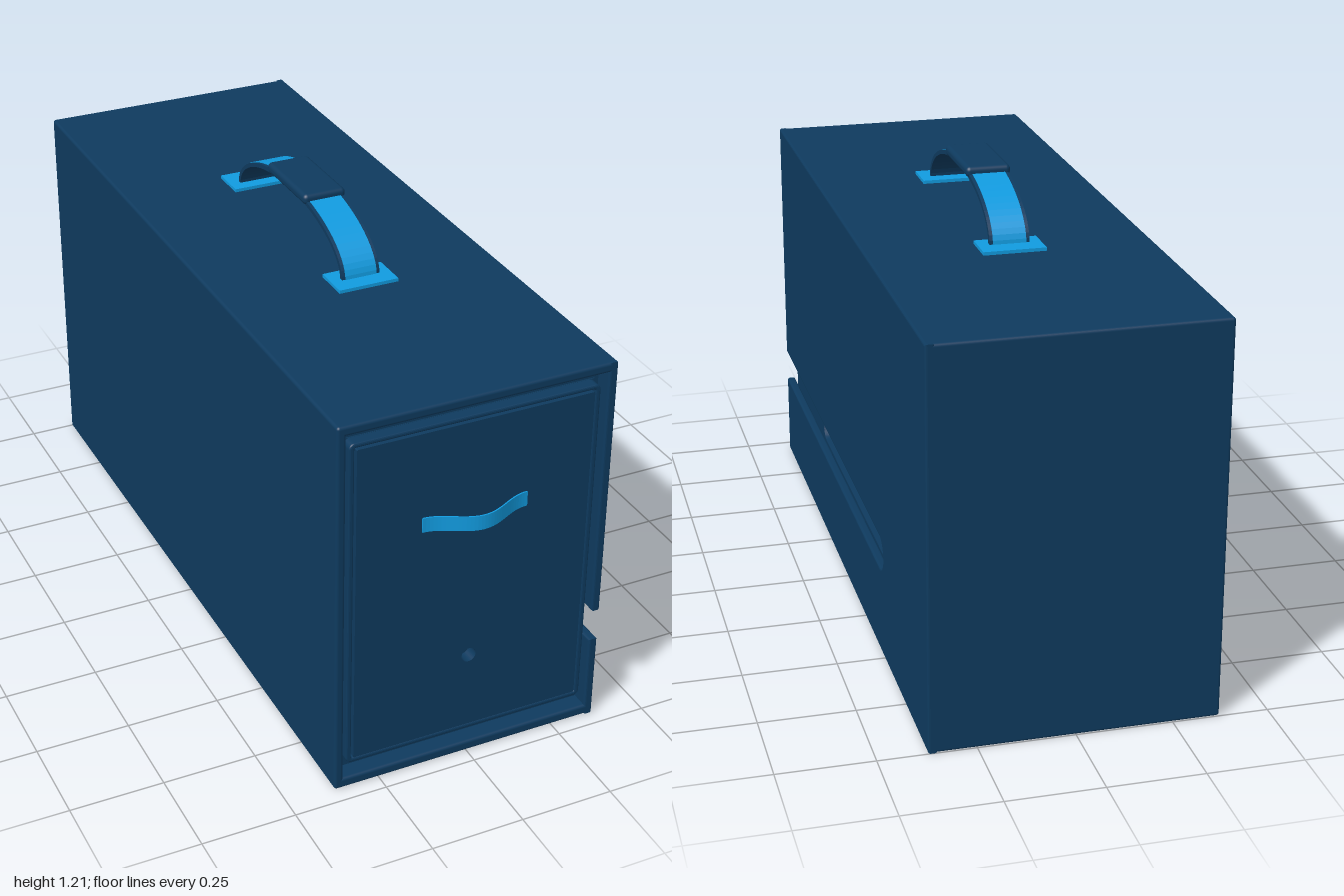
import * as THREE from 'three';
import { RoundedBoxGeometry } from 'three/addons/geometries/RoundedBoxGeometry.js';

export function createModel() {
  const root = new THREE.Group();
  const navy = new THREE.MeshStandardMaterial({ color: 0x0e3a5e });
  navy.name = 'navy shell';
  const blue = new THREE.MeshStandardMaterial({ color: 0x119ade });
  blue.name = 'bright blue webbing';

  const add = (name, geo, mat, parent = root) => {
    const m = new THREE.Mesh(geo, mat);
    m.name = name;
    parent.add(m);
    return m;
  };
  const group = (name) => {
    const g = new THREE.Group();
    g.name = name;
    root.add(g);
    return g;
  };
  // Box given by its limits, rounded when r > 0
  const block = (name, [x0, x1], [y0, y1], [z0, z1], mat, parent, r = 0) => {
    const s = [x1 - x0, y1 - y0, z1 - z0];
    const geo = r ? new RoundedBoxGeometry(...s, 3, r) : new THREE.BoxGeometry(...s);
    return add(name, geo.translate((x0 + x1) / 2, (y0 + y1) / 2, (z0 + z1) / 2), mat, parent);
  };
  // Profile drawn in (z, y), extruded across x from x0 to x1
  const sideways = (shape, x0, x1, bevel = 0) => new THREE.ExtrudeGeometry(shape, {
    depth: x1 - x0 - 2 * bevel, bevelEnabled: bevel > 0, bevelThickness: bevel,
    bevelSize: bevel, bevelOffset: -bevel, bevelSegments: 3, curveSegments: 16,
  }).rotateY(-Math.PI / 2).translate(x1 - bevel, 0, 0);
  // Rounded rectangle in (x, y)
  const roundRect = (T, w, y0, y1, r) => {
    const s = new T();
    s.absarc(w - r, y0 + r, r, -Math.PI / 2, 0);
    s.absarc(w - r, y1 - r, r, 0, Math.PI / 2);
    s.absarc(-w + r, y1 - r, r, Math.PI / 2, Math.PI);
    s.absarc(-w + r, y0 + r, r, Math.PI, Math.PI * 1.5);
    s.closePath();
    return s;
  };

  const X = 0.373, H = 1.055, B = -1, F = 0.957;
  const slotY = 0.285, slotR = 0.045, slotEnd = -0.45;

  // Outer case, open at the front
  const shell = group('outerCase');
  const r = 0.008;
  block('caseTop', [-X, X], [H - 0.027, H], [B, F], navy, shell, r);
  block('caseBottom', [-X, X], [0, 0.029], [B, F], navy, shell, r);
  block('caseRightWall', [-X, -X + 0.024], [0, H], [B, F], navy, shell, r);
  block('caseBack', [-X, X], [0, H], [B, B + 0.025], navy, shell, r);

  // Slotted wall, the slot running out through the front rim
  const wall = new THREE.Shape();
  wall.moveTo(B, 0);
  wall.lineTo(F, 0);
  wall.lineTo(F, slotY - slotR);
  wall.absarc(slotEnd, slotY, slotR, -Math.PI / 2, Math.PI / 2, true);
  wall.lineTo(F, slotY + slotR);
  wall.lineTo(F, H);
  wall.lineTo(B, H);
  wall.closePath();
  add('caseLeftSlottedWall', sideways(wall, X - 0.024, X, 0.006), navy, shell);

  // Inner sleeve with a closed slot in the same side
  const sleeve = group('innerSleeve');
  const sx = 0.348, st = 0.336, sz = [-0.97, 0.91];
  block('sleeveTop', [-sx, sx], [0.995, 1.027], sz, navy, sleeve);
  block('sleeveBottom', [-sx, sx], [0.03, 0.062], sz, navy, sleeve);
  block('sleeveRightWall', [-sx, -st], [0.03, 1.027], sz, navy, sleeve);
  const inner = new THREE.Shape([[sz[0], 0.03], [sz[1], 0.03], [sz[1], 1.027], [sz[0], 1.027]]
    .map((p) => new THREE.Vector2(...p)));
  const slot = new THREE.Path();
  slot.absarc(0.42, slotY, slotR, -Math.PI / 2, Math.PI / 2);
  slot.absarc(slotEnd, slotY, slotR, Math.PI / 2, Math.PI * 1.5);
  slot.closePath();
  inner.holes.push(slot);
  add('sleeveLeftSlottedWall', sideways(inner, st, sx), navy, sleeve);

  // Front lid: frame and panel with a small round hole
  const lid = group('frontLid');
  const frame = roundRect(THREE.Shape, 0.336, 0.063, 0.995, 0.015);
  frame.holes.push(roundRect(THREE.Path, 0.322, 0.075, 0.983, 0.004));
  add('lidFrame', new THREE.ExtrudeGeometry(frame, {
    depth: 0.027, bevelThickness: 0.004, bevelSize: 0.004, bevelOffset: -0.004, bevelSegments: 2,
  }).translate(0, 0, 0.914), navy, lid);
  const panel = roundRect(THREE.Shape, 0.318, 0.079, 0.979, 0.003);
  const hole = new THREE.Path();
  hole.absarc(0, 0.297, 0.02, 0, Math.PI * 2);
  panel.holes.push(hole);
  add('lidPanel', new THREE.ExtrudeGeometry(panel, { depth: 0.035, bevelEnabled: false, curveSegments: 20 })
    .translate(0, 0, 0.913), navy, lid);
  block('lidBacking', [-st, st], [0.063, 0.995], [0.905, 0.913], navy, lid);

  // Bowed pull tab on the lid
  const tab = new THREE.Shape();
  const bow = (x) => 0.948 + 0.024 * (1 + Math.cos(Math.PI * x / 0.143));
  const N = 32, xs = Array.from({ length: N + 1 }, (_, i) => -0.143 + 0.286 * i / N);
  tab.setFromPoints([
    ...xs.map((x) => new THREE.Vector2(x, -bow(x))),
    ...xs.reverse().map((x) => new THREE.Vector2(x, -bow(x) - 0.004)),
  ]);
  add('pullTab', new THREE.ExtrudeGeometry(tab, { depth: 0.04, bevelEnabled: false })
    .rotateX(-Math.PI / 2).translate(0, 0.705, 0), blue, lid);

  // Carry handle: arched strap, bright inlay, grip and two pads
  const handle = group('carryHandle');
  const arch = (in0, out) => {
    const s = new THREE.Shape();
    const c = -0.018, y = 1.06, a = 0.333, b = 0.14;
    s.absellipse(c, y, a + out, b + out, 0, Math.PI, false);
    s.absellipse(c, y, a + in0, b + in0, Math.PI, 0, true);
    s.closePath();
    return s;
  };
  add('handleStrap', sideways(arch(-0.012, 0), -0.053, 0.053), navy, handle);
  add('handleStrapInlay', sideways(arch(-0.001, 0.002), -0.044, 0.044), blue, handle);
  block('handleGrip', [-0.06, 0.06], [1.181, 1.21], [-0.14, 0.1], navy, handle, 0.012);
  for (const z of [0.312, -0.355]) {
    block('handlePad', [-0.083, 0.083], [1.054, 1.064], [z - 0.051, z + 0.051], blue, handle);
  }
  return root;
}
